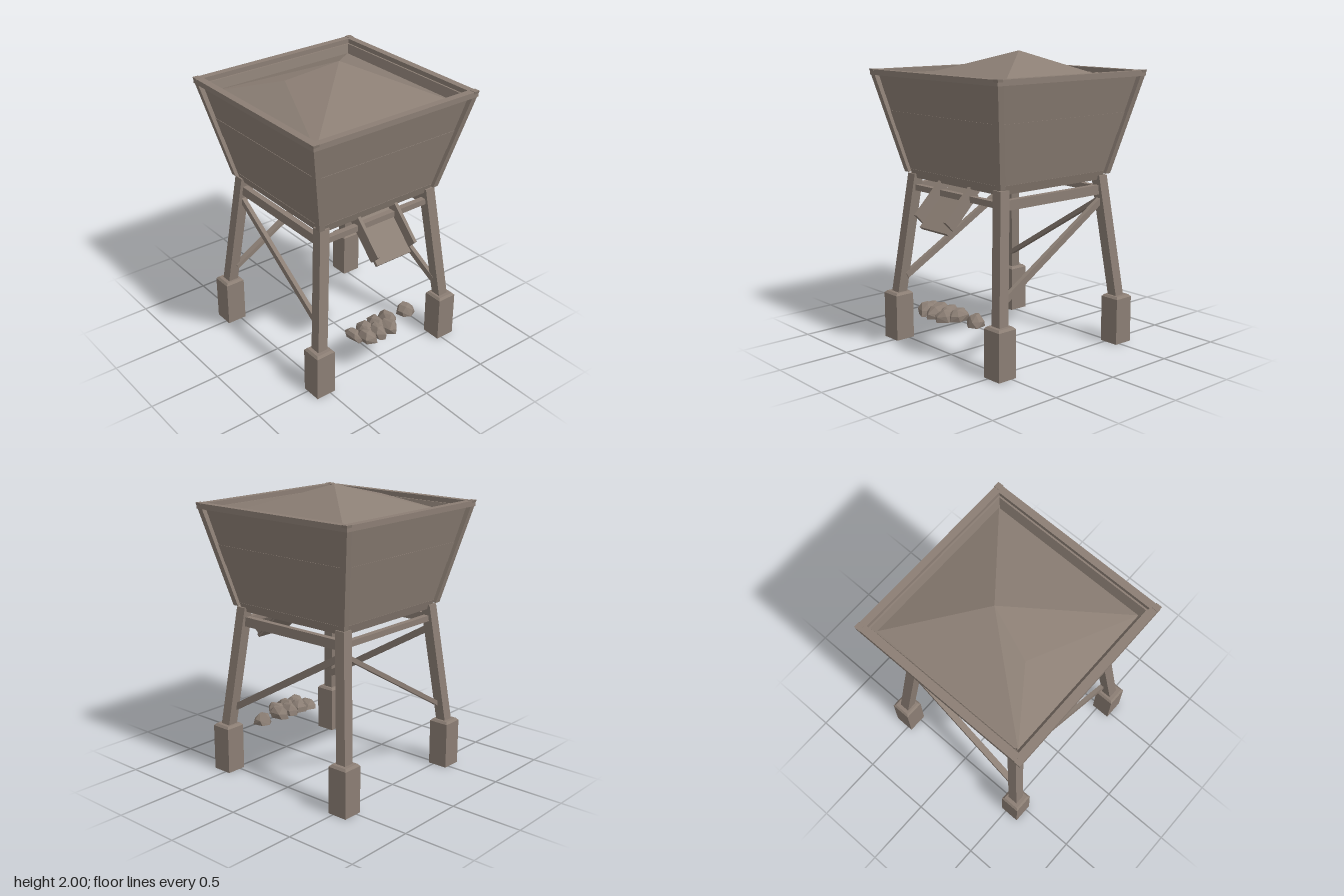
import * as THREE from 'three';
import { ConvexGeometry } from 'three/addons/geometries/ConvexGeometry.js';

const weathered = new THREE.MeshStandardMaterial({ color: 0x8b7e74, side: THREE.DoubleSide });
weathered.name = 'weatheredBrown';

function addMesh(parent, name, geometry) {
  const mesh = new THREE.Mesh(geometry, weathered);
  mesh.name = name;
  parent.add(mesh);
  return mesh;
}

// Prism between two horizontal rectangles: a, b are centres, each size is [x, z]
function prism(a, b, sizeA, sizeB = sizeA, openBottom = false) {
  const box = new THREE.BoxGeometry(1, 1, 1);
  if (openBottom) box.setIndex([...box.index.array].filter((_, i) => i < 18 || i >= 24));
  const g = box.toNonIndexed();
  const p = g.attributes.position;
  for (let i = 0; i < p.count; i++) {
    const [c, s] = p.getY(i) < 0 ? [a, sizeA] : [b, sizeB];
    p.setXYZ(i, c[0] + p.getX(i) * s[0], c[1], c[2] + p.getZ(i) * s[1]);
  }
  g.computeVertexNormals();
  return g;
}

// Rectangular bar from a to b; w is horizontal, h is the other thickness
function bar(a, b, w, h) {
  const from = new THREE.Vector3(...a), to = new THREE.Vector3(...b);
  const along = to.clone().sub(from);
  const g = new THREE.BoxGeometry(w, h, along.length());
  along.normalize();
  const side = new THREE.Vector3(0, 1, 0).cross(along).normalize();
  const up = along.clone().cross(side);
  g.applyMatrix4(new THREE.Matrix4().makeBasis(side, up, along).setPosition(from.add(to).multiplyScalar(0.5)));
  return g;
}

function seeded(seed) {
  return () => (seed = (seed * 16807) % 2147483647) / 2147483647;
}

// Faceted stone with a flat base
function stone(cx, cy, cz, rx, h, rz, lean, random) {
  const points = [];
  for (const [level, scale, count] of [[0, 1, 6], [0.5, 0.95, 6], [1, 0.5, 4]]) {
    for (let i = 0; i < count; i++) {
      const t = ((i + random() * 0.6) / count) * Math.PI * 2;
      const r = scale * (0.85 + random() * 0.15);
      const y = level === 0 ? 0 : level * h * (0.85 + random() * 0.15);
      points.push(new THREE.Vector3(cx + Math.cos(t) * r * rx + lean * level, cy + y, cz + Math.sin(t) * r * rz));
    }
  }
  return new ConvexGeometry(points);
}

export function createModel() {
  const model = new THREE.Group();
  model.name = 'oreHopper';

  // Hopper: plank walls and rim, one side repeated four times
  const hopper = new THREE.Group();
  hopper.name = 'hopper';
  model.add(hopper);
  const out = (y) => 0.468 + ((y - 1.18) / 0.69) * 0.152;
  const rows = [[1.18, 1.46, 0], [1.46, 1.595, 0.003], [1.595, 1.84, 0]];
  for (let k = 0; k < 4; k++) {
    const side = new THREE.Group();
    side.name = 'hopperSide';
    side.rotation.y = (k * Math.PI) / 2;
    hopper.add(side);
    for (const [y0, y1, bump] of rows) {
      const o0 = out(y0) + bump, o1 = out(y1) + bump;
      addMesh(side, 'wallPlank', prism([0, y0, o0 - 0.012], [0, y1, o1 - 0.012], [2 * o0 - 0.02, 0.024], [2 * o1 - 0.02, 0.024]));
    }
    addMesh(side, 'rimBeam', prism([0, 1.835, 0.626], [0, 1.872, 0.626], [1.3, 0.05]));
    addMesh(side, 'cornerPost', prism([0.472, 1.18, 0.472], [0.634, 1.875, 0.634], [0.042, 0.042]));
    addMesh(side, 'sill', prism([0, 1.14, 0.435], [0, 1.2, 0.455], [0.9, 0.04]));
  }
  addMesh(hopper, 'hopperFloor', prism([0, 1.14, 0], [0, 1.18, 0], [0.87, 0.87], [0.9, 0.9]));

  // Ore heap: peak, shoulder and four base corners
  const peak = [0.075, 2, -0.04], shoulder = [-0.27, 1.912, -0.16];
  const fl = [-0.565, 1.782, 0.557], fr = [0.565, 1.782, 0.557];
  const br = [0.565, 1.782, -0.565], bl = [-0.565, 1.782, -0.565];
  const faces = [fl, fr, peak, fr, br, peak, br, bl, peak, bl, shoulder, peak, bl, fl, shoulder, fl, peak, shoulder];
  const heap = new THREE.BufferGeometry();
  heap.setAttribute('position', new THREE.Float32BufferAttribute(faces.flat(), 3));
  heap.computeVertexNormals();
  addMesh(model, 'oreHeap', heap);

  // Splayed legs on chamfered footings, hollow underneath
  for (const sx of [-1, 1]) {
    for (const sz of [-1, 1]) {
      const f = 0.535;
      addMesh(model, 'leg', prism([sx * 0.532, 0.32, sz * 0.532], [sx * 0.44, 1.17, sz * 0.44], [0.074, 0.074]));
      addMesh(model, 'footing', prism([sx * f, 0, sz * f], [sx * f, 0.32, sz * f], [0.142, 0.142], [0.142, 0.142], true));
      addMesh(model, 'footingCap', prism([sx * f, 0.32, sz * f], [sx * f, 0.335, sz * f], [0.142, 0.142], [0.115, 0.115]));
    }
  }

  // Cross beams and diagonal braces
  for (const s of [-1, 1]) {
    addMesh(model, 'crossBeam', bar([-0.43, 1.075, s * 0.445], [0.43, 1.075, s * 0.445], 0.04, 0.04));
    addMesh(model, 'sideBeam', bar([s * 0.445, 1.072, -0.43], [s * 0.445, 1.072, 0.43], 0.04, 0.065));
    addMesh(model, 'sideBrace', bar([s * 0.49, 0.45, 0.5], [s * 0.455, 1.0, -0.44], 0.03, 0.045));
  }
  addMesh(model, 'backBrace', bar([-0.5, 0.445, -0.49], [0.44, 1.005, -0.455], 0.045, 0.03));

  // Discharge chute
  const chute = new THREE.Group();
  chute.name = 'chute';
  model.add(chute);
  addMesh(chute, 'chuteBed', bar([0, 0.862, 0.628], [0, 1.13, 0.36], 0.285, 0.025));
  for (const s of [-1, 1]) {
    addMesh(chute, 'chuteSide', bar([s * 0.153, 0.918, 0.632], [s * 0.153, 1.125, 0.425], 0.024, 0.092));
  }

  // Spilled ore below the chute
  const random = seeded(77);
  for (let i = 0; i < 7; i++) {
    const x = -0.2 + i * 0.046;
    const z = 0.53 + (i % 2 ? 0.035 : -0.035);
    addMesh(model, 'spilledOre', stone(x, 0.26, z, 0.062, i === 0 ? 0.06 : 0.08, 0.09, -0.02 + i * 0.004, random));
  }
  addMesh(model, 'looseStone', stone(0.25, 0.26, 0.49, 0.07, 0.08, 0.065, -0.015, random));

  return model;
}
